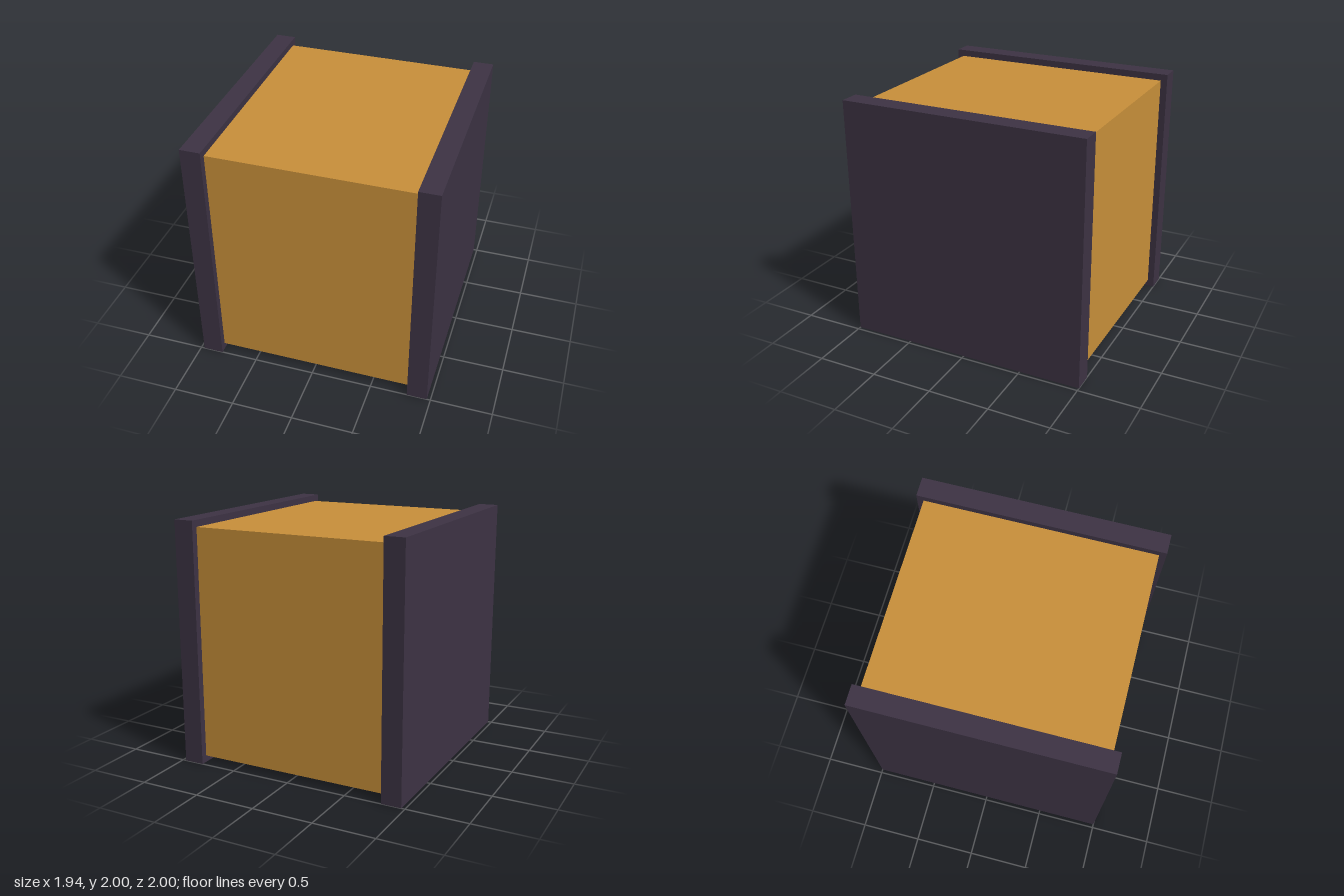
import * as THREE from 'three';

const INNER = 0.805; // inner face of each end panel
const OUTER = 0.97;  // outer face of each end panel

function box(name, size, position, color) {
  const material = new THREE.MeshStandardMaterial({ color });
  const mesh = new THREE.Mesh(new THREE.BoxGeometry(...size), material);
  mesh.name = name;
  mesh.position.set(...position);
  return mesh;
}

export function createModel() {
  const group = new THREE.Group();
  group.name = 'crate';

  // Central block, slightly inset from the panels on all four sides
  group.add(box('body', [2 * INNER, 1.89, 1.89], [0, 1, 0], 0xc9903a));

  // Square end panels, mirrored left and right
  for (const [name, side] of [['leftPanel', 1], ['rightPanel', -1]]) {
    const x = side * (INNER + OUTER) / 2;
    group.add(box(name, [OUTER - INNER, 2, 2], [x, 1, 0], 0x3d3344));
  }
  return group;
}
